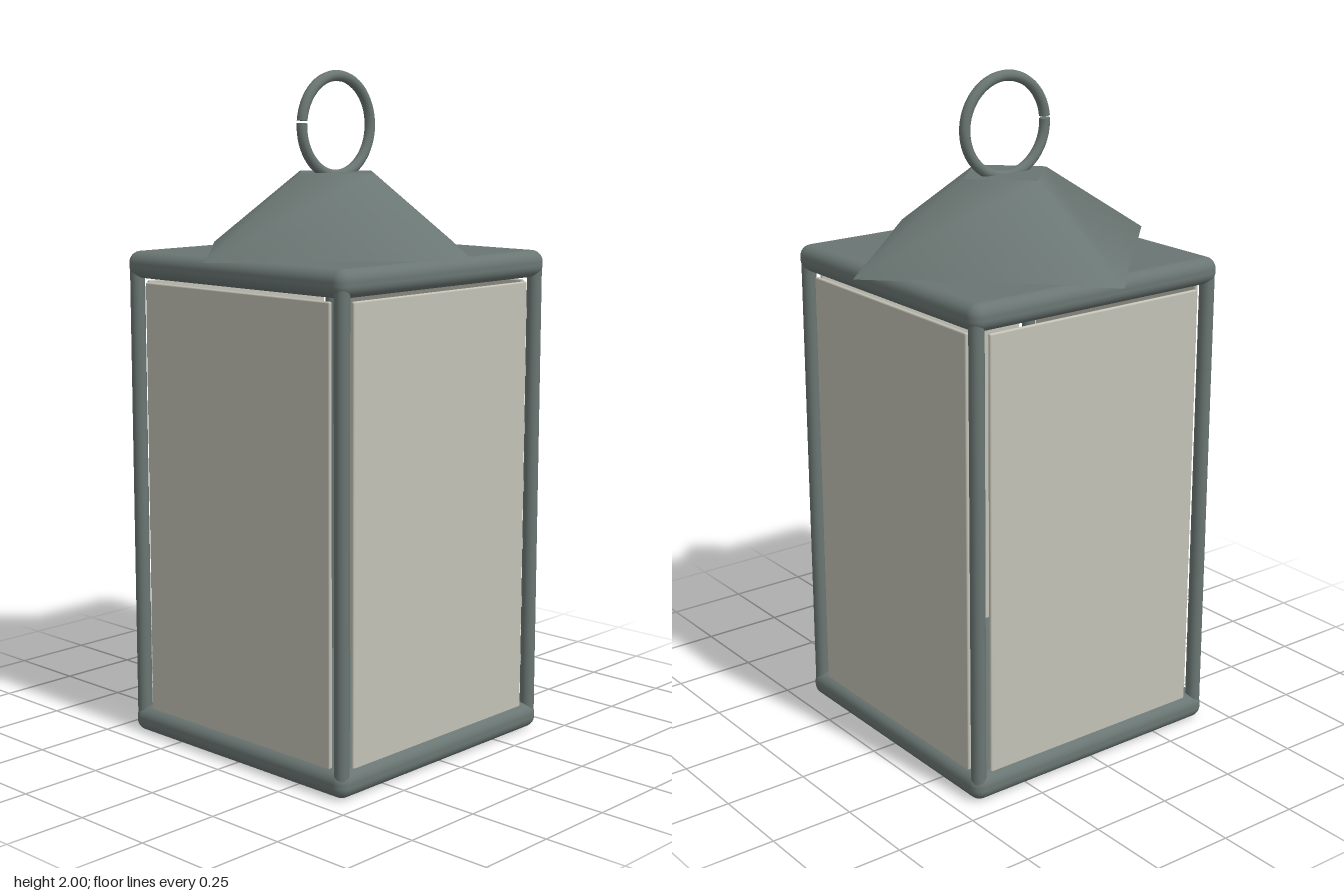
import * as THREE from 'three';
import { RoundedBoxGeometry } from 'three/addons/geometries/RoundedBoxGeometry.js';

export function createModel() {
  const model = new THREE.Group();
  model.name = 'lantern';

  const metal = new THREE.MeshStandardMaterial({ color: 0x6a7673 });
  metal.name = 'grey green metal';
  const glass = new THREE.MeshStandardMaterial({ color: 0xc2c2b6 });
  glass.name = 'frosted glass';

  const add = (name, geometry, material, x, y, z) => {
    const mesh = new THREE.Mesh(geometry, material);
    mesh.name = name;
    mesh.position.set(x, y, z);
    model.add(mesh);
    return mesh;
  };

  // Base and top slabs with rounded edges
  const slab = new RoundedBoxGeometry(0.886, 0.08, 0.886, 4, 0.035);
  add('base', slab, metal, 0, 0.04, 0);
  add('topSlab', slab, metal, 0, 1.435, 0);

  // Corner posts and the four panes set between them
  const inset = 0.416;
  const post = new THREE.CylinderGeometry(0.022, 0.022, 1.37, 16);
  const pane = new RoundedBoxGeometry(0.75, 1.325, 0.012, 2, 0.005);
  for (let i = 0; i < 4; i++) {
    const a = i * Math.PI / 2;
    const corner = a + Math.PI / 4;
    const reach = inset * Math.SQRT2;
    add('cornerPost', post, metal, Math.sin(corner) * reach, 0.735, Math.cos(corner) * reach);
    add('pane', pane, glass, Math.sin(a) * inset, 0.7225, Math.cos(a) * inset).rotation.y = a;
  }

  // Four-sided roof, turned so its corners point along the axes
  add('roof', new THREE.CylinderGeometry(0.15, 0.53, 0.233, 4), metal, 0, 1.5885, 0);

  // Carrying ring: two arcs with a small split on one side
  const split = Math.PI * 0.965;
  const gap = 0.05;
  const ringY = 1.84;
  add('ringUpper', new THREE.TorusGeometry(0.144, 0.016, 12, 32, split), metal, 0, ringY, 0);
  add('ringLower', new THREE.TorusGeometry(0.144, 0.016, 12, 32, Math.PI * 2 - split - gap), metal, 0, ringY, 0)
    .rotation.z = split + gap;
  // Caps closing the ring at the split
  for (const angle of [split, split + gap]) {
    const cap = add('ringEnd', new THREE.CircleGeometry(0.016, 12), metal,
      Math.cos(angle) * 0.144, ringY + Math.sin(angle) * 0.144, 0);
    const side = angle === split ? 1 : -1;
    cap.lookAt(cap.position.x - Math.sin(angle) * side, cap.position.y + Math.cos(angle) * side, 0);
  }

  return model;
}
